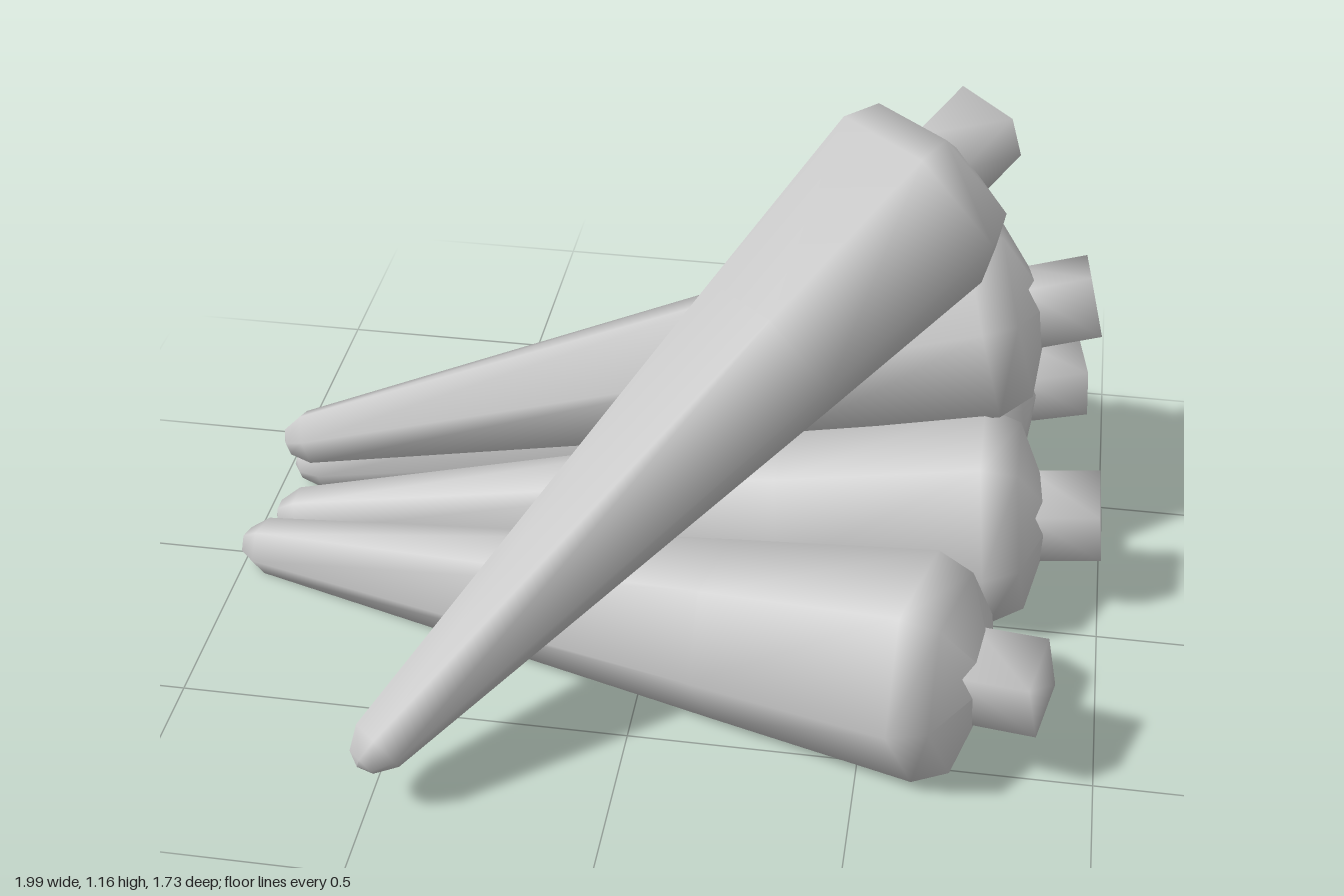
import * as THREE from 'three';
import { mergeVertices } from 'three/addons/utils/BufferGeometryUtils.js';

const material = new THREE.MeshStandardMaterial({ color: 0xcccccc });

// Six-sided tapering root: [radius, distance from the tip]
const PROFILE = [
  [0, -0.025], [0.036, -0.012], [0.066, 0.035], [0.198, 1.21],
  [0.247, 1.67], [0.212, 1.75], [0, 1.825],
];
const rootGeometry = new THREE.LatheGeometry(
  PROFILE.map(([r, y]) => new THREE.Vector2(r, y)), 6);

// Square stalk stub with softly shaded corners
function makeStub() {
  const box = new THREE.BoxGeometry(0.145, 0.16, 0.145);
  box.deleteAttribute('normal');
  box.deleteAttribute('uv');
  const stub = mergeVertices(box);
  stub.computeVertexNormals();
  return stub;
}
const stubGeometry = makeStub();

// One carrot lying from its tip towards its head, rolled about its own axis
function carrot(name, tip, head, rollDegrees = 0) {
  const group = new THREE.Group();
  group.name = name;

  const root = new THREE.Mesh(rootGeometry, material);
  root.name = 'root';
  const stub = new THREE.Mesh(stubGeometry, material);
  stub.name = 'stalkStub';
  stub.position.y = 1.845;
  stub.rotation.y = THREE.MathUtils.degToRad(12);
  group.add(root, stub);

  const start = new THREE.Vector3(...tip);
  const along = new THREE.Vector3(...head).sub(start).normalize();
  const side = along.clone().cross(new THREE.Vector3(0, 1, 0)).normalize();
  const third = along.clone().cross(side);
  group.quaternion.setFromRotationMatrix(
    new THREE.Matrix4().makeBasis(third, along, side));
  group.rotateY(THREE.MathUtils.degToRad(rollDegrees));
  group.position.copy(start);
  return group;
}

export function createModel() {
  const model = new THREE.Group();
  model.name = 'carrotPile';
  model.add(
    // Bottom row
    carrot('frontCarrot', [-0.975, 0.075, 0.03], [0.82, 0.29, 0.51]),
    carrot('middleCarrot', [-0.93, 0.075, -0.09], [0.94, 0.285, -0.1]),
    carrot('backCarrot', [-0.945, 0.075, -0.305], [0.875, 0.285, -0.67]),
    // Resting on the row
    carrot('upperCarrot', [-0.93, 0.22, -0.2], [0.88, 0.67, -0.4], -22),
    // Leaning across the pile
    carrot('leaningCarrot', [-0.49, 0.175, 0.82], [0.62, 1.07, -0.36]),
  );
  return model;
}
